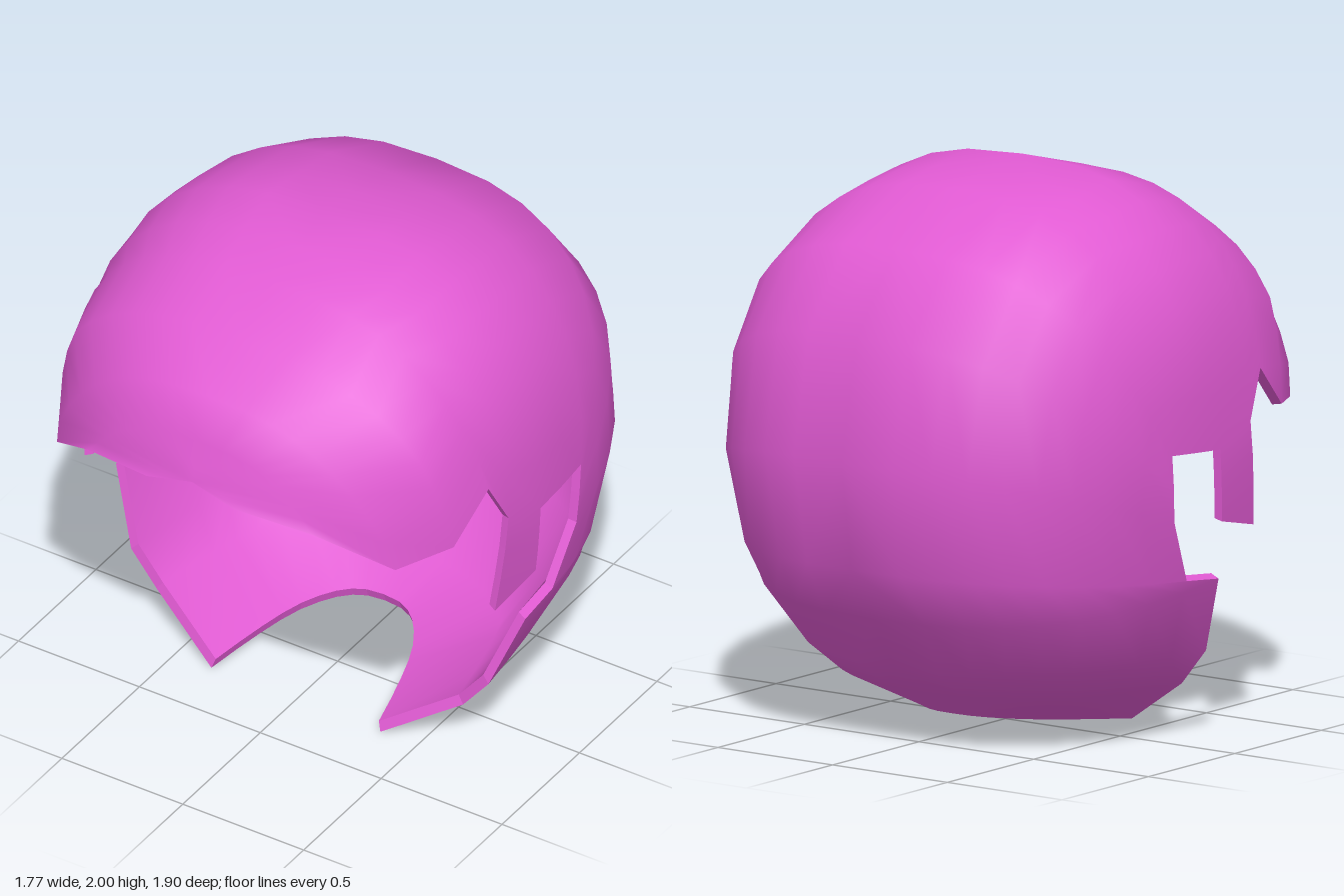
import * as THREE from 'three';
import { mergeVertices } from 'three/addons/utils/BufferGeometryUtils.js';

// Side profile on the midline as [z, y], running front, crown, back, bottom
const PROFILE = [
  [0.98, 1.0], [0.965, 1.3], [0.94, 1.36], [0.925, 1.41], [0.89, 1.5], [0.83, 1.66],
  [0.63, 1.785], [0.43, 1.91], [0.26, 1.955], [0.09, 2.0], [-0.1, 1.97], [-0.3, 1.94],
  [-0.64, 1.78], [-0.86, 1.5], [-0.95, 1.07], [-0.89, 0.68], [-0.765, 0.485],
  [-0.64, 0.29], [-0.475, 0.18], [-0.31, 0.075], [-0.1, 0.034], [0.284, -0.034], [0.7, 0.2],
];
const CY = 1.05, HALF_WIDTH = 0.885, POWER = 2.6, STEPS = 9, INNER = 0.965;

// Strands from the midline [z, y] to the trimmed side edge [z, y]
const STRANDS = [
  [[0.94, 1.36], [0.94, 1.36]],
  [[0.925, 1.41], [0.95, 1.32]],
  [[0.89, 1.5], [0.89, 1.285]],
  [[0.83, 1.66], [0.72, 1.12]],
  [[0.63, 1.785], [0.52, 1.14]],
  [[0.43, 1.91], [0.35, 1.3]],
  [[0.26, 1.955], [0.26, 1.13]],
  [[0.09, 2.0], [0.07, 1.06]],
  [[-0.1, 1.97], [-0.065, 1.07]],
  [[-0.3, 1.94], [-0.2, 1.08]],
  [[-0.64, 1.78], [-0.2, 1.08]],
  [[-0.86, 1.5], [-0.19, 0.96]],
  [[-0.95, 1.07], [-0.18, 0.84]],
  [[-0.89, 0.68], [-0.07, 0.61]],
  [[-0.765, 0.485], [0.11, 0.59]],
  [[-0.64, 0.29], [0.18, 0.31]],
  [[-0.475, 0.18], [0.18, 0.18]],
  [[-0.31, 0.075], [0.27, 0.005]],
];
// Sideburn hanging below strands 6 and 7
const SIDEBURN = [[[0.26, 1.13], [0.31, 0.75]], [[0.07, 1.06], [0.09, 0.8]]];

// Distance of a side-view point from the centre, as a fraction of the profile
function radialFraction(z, y) {
  const dy = y - CY;
  for (let i = 0; i < PROFILE.length; i++) {
    const [az, ay] = PROFILE[i], [bz, by] = PROFILE[(i + 1) % PROFILE.length];
    const ca = az * dy - (ay - CY) * z;
    const cb = z * (by - CY) - dy * bz;
    if (ca >= -1e-9 && cb >= -1e-9) {
      const ez = bz - az, ey = by - ay;
      return (z * ey - dy * ez) / (az * ey - (ay - CY) * ez);
    }
  }
  return 0;
}

// Point on the rounded head surface for a side-view position
function onSurface(z, y) {
  const r = Math.min(1, radialFraction(z, y));
  const f = 1 - Math.pow(r, POWER);
  const x = f < 1e-6 ? 0 : HALF_WIDTH * Math.pow(f, 1 / POWER);
  return new THREE.Vector3(x, y, z);
}

// Steps bunch up at the midline, where the surface curves fastest
function strand([m, e], steps, ease) {
  return Array.from({ length: steps + 1 }, (_, k) => {
    const t = Math.pow(k / steps, ease);
    return onSurface(m[0] + (e[0] - m[0]) * t, m[1] + (e[1] - m[1]) * t);
  });
}

const inset = (p) => new THREE.Vector3(p.x * INNER, CY + (p.y - CY) * INNER, p.z * INNER);

// Joins neighbouring rows into triangles, mirrored to both sides
function skin(grids, flip) {
  const pos = [];
  const tri = (a, b, c) => {
    const area = b.clone().sub(a).cross(c.clone().sub(a)).length();
    if (area < 1e-8) return;
    for (const s of [1, -1]) {
      const order = (s > 0) !== flip ? [a, b, c] : [a, c, b];
      for (const p of order) pos.push(p.x * s, p.y, p.z);
    }
  };
  for (const rows of grids) {
    for (let i = 0; i + 1 < rows.length; i++) {
      for (let k = 0; k + 1 < rows[i].length; k++) {
        const a = rows[i][k], b = rows[i][k + 1], c = rows[i + 1][k + 1], d = rows[i + 1][k];
        tri(a, b, c);
        tri(a, c, d);
      }
    }
  }
  const geo = new THREE.BufferGeometry();
  geo.setAttribute('position', new THREE.Float32BufferAttribute(pos, 3));
  const merged = mergeVertices(geo, 1e-4);
  merged.computeVertexNormals();
  return merged;
}

export function createModel() {
  const group = new THREE.Group();
  group.name = 'hair';
  const color = 0xe05ad2;
  const add = (name, geometry, side = THREE.FrontSide) => {
    const mesh = new THREE.Mesh(geometry, new THREE.MeshStandardMaterial({ color, side }));
    mesh.name = name;
    group.add(mesh);
  };

  const cap = STRANDS.map((s) => strand(s, STEPS, 2));
  const burns = SIDEBURN.map((s) => strand(s, 3, 1));

  // Outer hair and its lining
  add('outerHair', skin([cap, burns], false));
  add('innerLining', skin([cap, burns].map((g) => g.map((row) => row.map(inset))), true));

  // Rim along fringe, sideburn, ear notch, lower lock and nape
  const ends = cap.map((row) => row[STEPS]);
  const edge = [
    ...ends.slice(0, 7), ...burns[0].slice(1), ...burns[1].slice().reverse(),
    ...ends.slice(8), ...cap[cap.length - 1].slice(0, -1).reverse(),
  ];
  const rim = skin([[edge, edge.map(inset)]], false).toNonIndexed();
  rim.computeVertexNormals();
  add('hairRim', rim, THREE.DoubleSide);

  return group;
}
